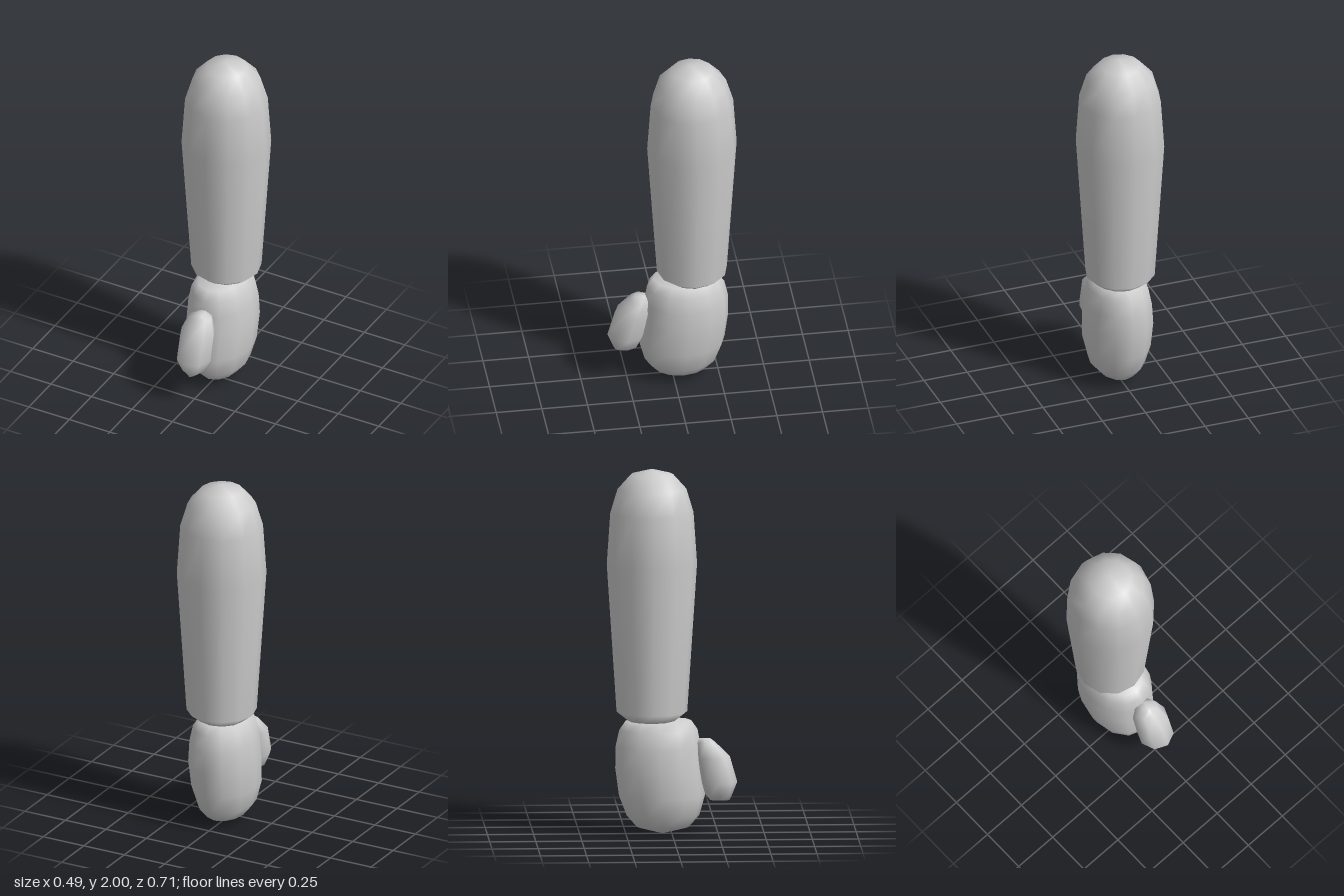
import * as THREE from 'three';
import { mergeVertices } from 'three/addons/utils/BufferGeometryUtils.js';

// Smooth skin over horizontal oval rings, listed bottom to top as [y, back z, front z, half width]
function loft(rings, sides) {
  const pos = [], index = [];
  rings.forEach(([y, back, front, rx], i) => {
    for (let j = 0; j < sides; j++) {
      const a = (j / sides) * Math.PI * 2;
      pos.push(Math.sin(a) * rx, y, (back + front) / 2 + Math.cos(a) * (front - back) / 2);
      if (i === rings.length - 1) continue;
      const p = i * sides + j, q = i * sides + (j + 1) % sides;
      index.push(p, q, q + sides, p, q + sides, p + sides);
    }
  });
  const geo = new THREE.BufferGeometry();
  geo.setAttribute('position', new THREE.Float32BufferAttribute(pos, 3));
  geo.setIndex(index);
  const merged = mergeVertices(geo, 1e-4);
  merged.computeVertexNormals();
  return merged;
}

export function createModel() {
  const group = new THREE.Group();
  const grey = new THREE.MeshStandardMaterial({ color: 0xcccccc });
  grey.name = 'light grey';

  const add = (name, rings, sides) => {
    const mesh = new THREE.Mesh(loft(rings, sides), grey);
    mesh.name = name;
    group.add(mesh);
  };

  // Round tapering sleeve: height and radius about a fixed axis
  const armZ = -0.108;
  const armProfile = [
    [0.61, 0], [0.62, 0.13], [0.67, 0.192], [1.48, 0.245], [1.76, 0.226],
    [1.89, 0.187], [1.97, 0.115], [2, 0],
  ];
  add('arm', armProfile.map(([y, r]) => [y, armZ - r, armZ + r, r * 0.99]), 12);

  // Mitten-shaped hand, deeper than wide
  add('hand', [
    [0, -0.05, -0.05, 0], [0.037, -0.19, 0.095, 0.1], [0.1, -0.245, 0.15, 0.15],
    [0.21, -0.287, 0.18, 0.178], [0.36, -0.307, 0.162, 0.187], [0.48, -0.305, 0.155, 0.178],
    [0.57, -0.285, 0.14, 0.16], [0.62, -0.25, 0.105, 0.122], [0.635, -0.08, -0.08, 0],
  ], 12);

  // Thumb slanting down and forward
  add('thumb', [
    [0.178, 0.262, 0.262, 0], [0.18, 0.21, 0.313, 0.02], [0.207, 0.185, 0.326, 0.065],
    [0.28, 0.15, 0.355, 0.098], [0.42, 0.12, 0.315, 0.098], [0.5, 0.125, 0.235, 0.067],
    [0.519, 0.14, 0.21, 0.02], [0.52, 0.175, 0.175, 0],
  ], 8);

  return group;
}
